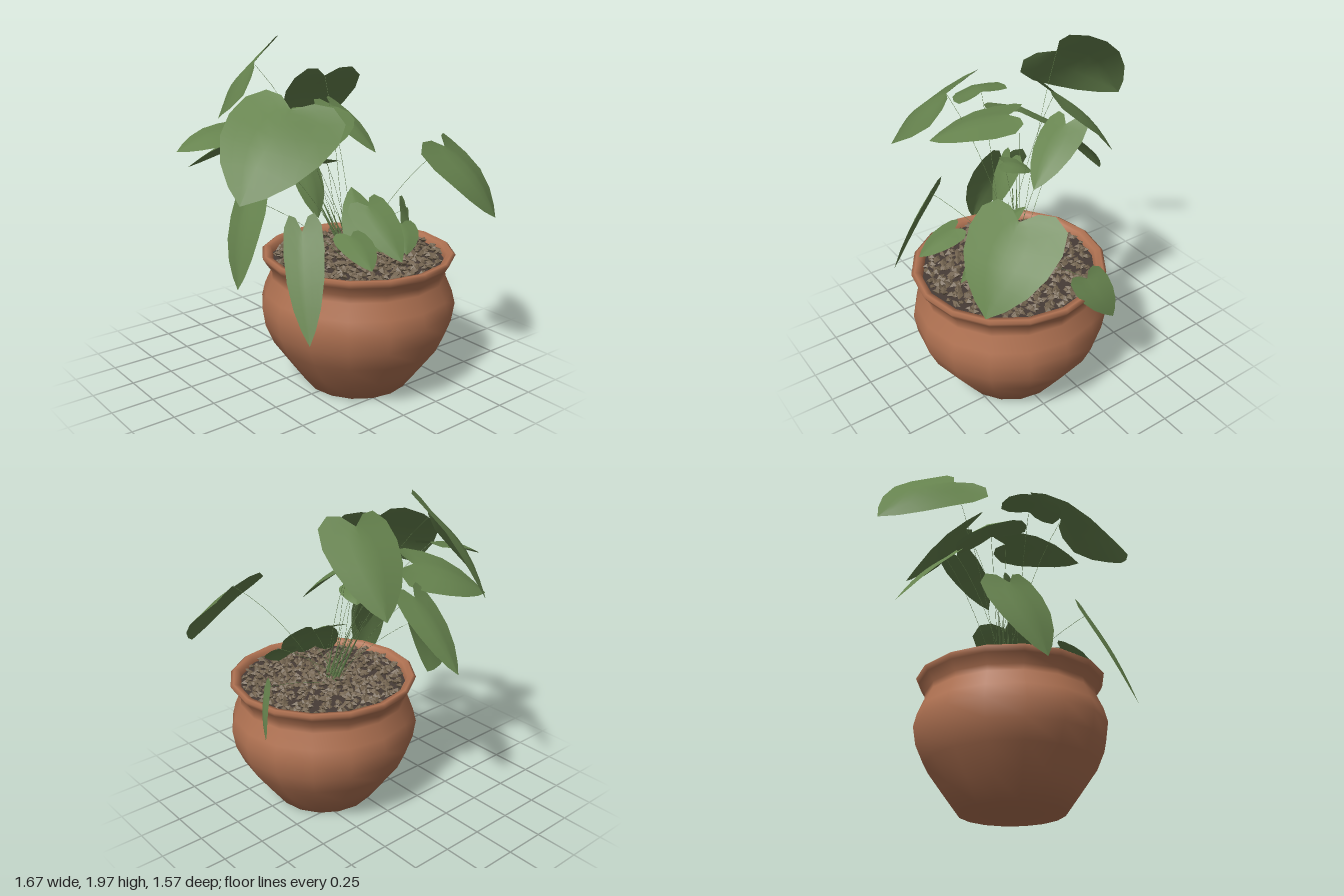
import * as THREE from 'three';
import { mergeGeometries } from 'three/addons/utils/BufferGeometryUtils.js';

const UP = new THREE.Vector3(0, 1, 0);

const mat = (name, color, side = THREE.FrontSide) => {
  const m = new THREE.MeshStandardMaterial({ color, side });
  m.name = name;
  return m;
};

// Half outline of a heart-shaped leaf: [position along midrib, half width]
const HALF = [[0, 0], [-0.13, 0.3], [-0.16, 0.62], [-0.05, 0.92], [0.18, 1.0], [0.44, 0.9], [0.68, 0.66], [0.87, 0.33], [1, 0]];

// Arched heart leaf from stem joint to point; roll tips it about its midrib
function leafGeometry(base, tip, halfWidth, roll) {
  const axis = tip.clone().sub(base);
  const flat = axis.clone().cross(UP).normalize();
  const side = flat.clone().applyAxisAngle(axis.clone().normalize(), -roll);
  const normal = side.clone().cross(axis).normalize();
  const pos = [], index = [], rows = HALF.length, cols = 7;
  HALF.forEach(([u, w], i) => {
    const mid = (i / (rows - 1)) ** 1.5;
    for (let j = 0; j < cols; j++) {
      const s = (j - 3) / 3, k = Math.abs(s);
      const along = mid + (u - mid) * k;
      const arch = 0.16 * halfWidth * (Math.sin(Math.PI * Math.max(along, 0)) - k * w);
      const p = base.clone().addScaledVector(axis, along)
        .addScaledVector(side, s * w * halfWidth).addScaledVector(normal, arch);
      pos.push(p.x, p.y, p.z);
      if (i < rows - 1 && j < cols - 1) {
        const a = i * cols + j, c = a + cols;
        index.push(a, a + 1, c, a + 1, c + 1, c);
      }
    }
  });
  const g = new THREE.BufferGeometry();
  g.setAttribute('position', new THREE.Float32BufferAttribute(pos, 3));
  g.setIndex(index);
  g.computeVertexNormals();
  return g;
}

// Leaves: stem joint, point, half width, roll
const CROWN = [
  [[-0.21, 1.83, -0.34], [-0.16, 1.48, -0.78], 0.28, 0.82],
  [[0.11, 1.76, -0.09], [0.2, 1.34, -0.44], 0.22, 0],
  [[-0.1, 1.38, -0.33], [-0.14, 1.01, -0.64], 0.135, 0],
  [[0.17, 1.59, -0.12], [0.28, 1.33, 0.17], 0.13, 0],
  [[-0.08, 1.6, 0.08], [-0.32, 1.45, 0.45], 0.2, 0],
  [[-0.28, 1.48, -0.13], [-0.65, 1.28, -0.36], 0.21, -0.3],
  [[-0.53, 1.54, -0.03], [-0.84, 1.43, -0.13], 0.165, 0.18],
  [[-0.4, 1.66, 0.28], [-0.81, 1.25, 0.42], 0.31, 0.27],
  [[0.55, 1.38, 0.45], [0.68, 1.0, 0.74], 0.265, 0],
];
const HANGING = [
  [[-0.43, 1.05, 0.41], [-0.55, 0.52, 0.63], 0.11, -0.39],
  [[-0.43, 1.12, -0.1], [-0.59, 0.65, 0.03], 0.18, -0.71],
  [[0.63, 0.92, 0.07], [0.72, 0.67, -0.05], 0.1, -1.34],
];
const YOUNG = [
  [[-0.13, 1.29, 0.04], [-0.13, 1.01, 0.16], 0.1, 0],
  [[0.13, 1.06, 0.28], [0.14, 0.8, 0.56], 0.13, -0.3],
  [[0.03, 0.89, 0.39], [0.14, 1.14, 0.12], 0.12, 0],
  [[-0.12, 0.97, 0.43], [-0.16, 0.84, 0.65], 0.11, 0],
  [[0.3, 0.95, 0.38], [0.23, 0.81, 0.5], 0.1, 0.2],
  [[-0.06, 1.33, 0.13], [0.03, 1.27, 0.0], 0.09, 0],
];

export function createModel() {
  const model = new THREE.Group();
  const terracotta = mat('terracotta', 0xb07252, THREE.DoubleSide);
  const soilMat = mat('soil', 0x463b36);
  const pebbleMat = mat('pebble', 0x72634f);
  const leafMat = mat('leafGreen', 0x66834e, THREE.DoubleSide);
  const add = (name, geometry, material, parent = model) => {
    const m = new THREE.Mesh(geometry, material);
    m.name = name;
    parent.add(m);
    return m;
  };

  // Pot: turned profile with a closed foot and a flared rim
  const pot = new THREE.Group();
  pot.name = 'pot';
  pot.position.set(0.11, 0, 0.22);
  model.add(pot);
  const profile = [[0, 0], [0.305, 0], [0.4, 0.13], [0.5, 0.27], [0.548, 0.38], [0.565, 0.49], [0.545, 0.57],
    [0.505, 0.66], [0.502, 0.7], [0.54, 0.755], [0.558, 0.785], [0.54, 0.797], [0.508, 0.79], [0.495, 0.75], [0.49, 0.7]];
  add('potBody', new THREE.LatheGeometry(profile.map(p => new THREE.Vector2(...p)), 16), terracotta, pot);
  add('soil', new THREE.CircleGeometry(0.495, 16).rotateX(-Math.PI / 2).translate(0, 0.755, 0), soilMat, pot);

  // Pebbles scattered on a sunflower spiral
  let seed = 7;
  const rnd = () => (seed = (seed * 16807) % 2147483647) / 2147483647;
  const stones = [], count = 620;
  for (let i = 0; i < count; i++) {
    const r = 0.475 * Math.sqrt((i + 0.5) / count), a = i * 2.39996 + rnd() * 0.3;
    const size = 0.014 + rnd() * 0.009;
    stones.push(new THREE.OctahedronGeometry(size)
      .scale(1.5, 0.8, 1).rotateZ(rnd() - 0.5).rotateY(rnd() * 6.28)
      .translate(r * Math.cos(a), 0.762 + rnd() * 0.018, r * Math.sin(a)));
  }
  add('pebbles', mergeGeometries(stones), pebbleMat, pot);

  // Leaves, each on a hair-thin arching stem
  Object.entries({ crownLeaf: CROWN, hangingLeaf: HANGING, youngLeaf: YOUNG }).forEach(([name, leaves]) => {
    leaves.forEach(([from, to, halfWidth, roll], i) => {
      const base = new THREE.Vector3(...from), tip = new THREE.Vector3(...to);
      add(name, leafGeometry(base, tip, halfWidth, roll), leafMat);
      const root = new THREE.Vector3(0.07 + 0.05 * Math.cos(i * 2.4), 0.74, 0.17 + 0.05 * Math.sin(i * 2.4));
      const bend = root.clone().lerp(base, 0.45);
      bend.y += 0.25 * (base.y - root.y);
      add(name + 'Stem', new THREE.TubeGeometry(new THREE.QuadraticBezierCurve3(root, bend, base), 8, 0.0012, 3), leafMat);
    });
  });

  // Slim sprouts fanning out of the soil
  for (let i = 0; i < 5; i++) {
    const root = new THREE.Vector3(0.08, 0.75, 0.14 + 0.02 * i);
    const tip = new THREE.Vector3(-0.1 + 0.03 * i, 1.2 - 0.05 * i, 0.02 + 0.05 * i);
    const sprout = add('sprout', new THREE.ConeGeometry(0.012, root.distanceTo(tip), 4), leafMat);
    sprout.position.copy(root).lerp(tip, 0.5);
    sprout.quaternion.setFromUnitVectors(UP, tip.sub(root).normalize());
  }
  return model;
}
